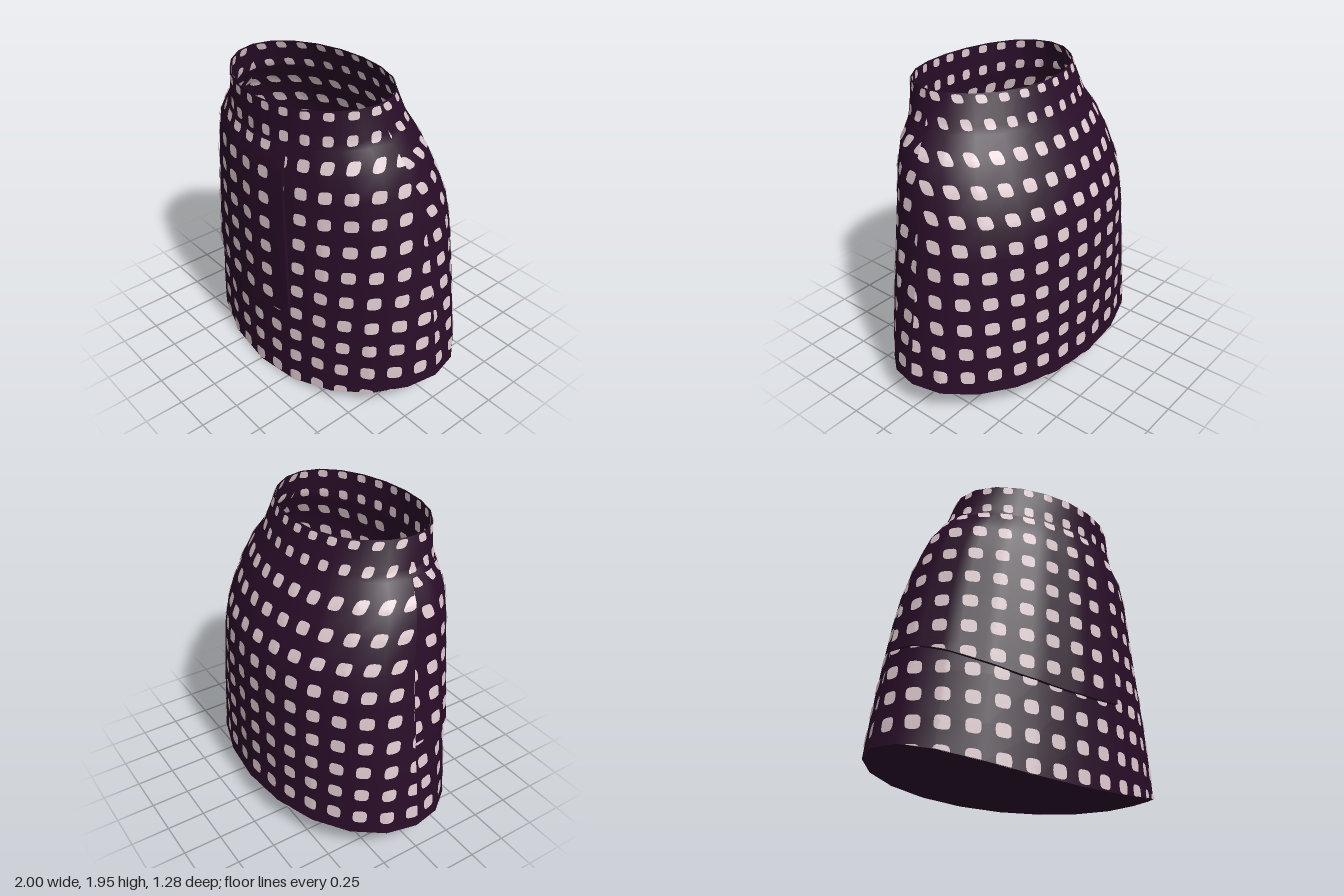
import * as THREE from 'three';

const { sin, cos, abs, min, max, sign, PI, hypot, floor } = Math;
const lerp = (a, b, t) => a + (b - a) * t;

// Skirt profile: height at the front, half width, front z, back z, rise at the sides, rise at the back
const RINGS = [
  [0, 1.0, 0.62, -0.635, 0.19, 0.16],
  [0.25, 0.985, 0.615, -0.625, 0.08, 0.07],
  [0.55, 0.945, 0.615, -0.62, 0.07, 0.06],
  [1.0, 0.872, 0.612, -0.605, 0.07, 0.06],
  [1.2, 0.835, 0.61, -0.575, 0.07, 0.06],
  [1.4, 0.79, 0.605, -0.49, 0.06, 0.05],
  [1.55, 0.735, 0.595, -0.41, 0.06, 0.05],
  [1.68, 0.65, 0.57, -0.34, 0.05, 0.04],
  [1.74, 0.625, 0.57, -0.32, 0.04, 0.03],
  [1.925, 0.58, 0.57, -0.25, 0.025, 0.01],
];
const TOP = 1.925, SIDES = 20, FLAP_TOP = 1.69;

function ringAt(v) {
  let i = 0;
  while (i < RINGS.length - 2 && v > RINGS[i + 1][0]) i++;
  const a = RINGS[i], b = RINGS[i + 1], t = (v - a[0]) / (b[0] - a[0]);
  return a.map((n, k) => lerp(n, b[k], t));
}

// Corner of the faceted ring; angle 0 is the front, +90 degrees the model's left
function corner(angle, ring, off) {
  const [v, rx, zf, zb, side, back] = ring;
  const rz = (zf - zb) / 2, s = sin(angle), c = cos(angle);
  const n = hypot(s / rx, c / rz);
  const base = c > 0 ? 0 : back;
  return [
    rx * s + (off * s) / rx / n,
    v + lerp(base, side, s * s),
    (zf + zb) / 2 + rz * c + (off * c) / rz / n,
  ];
}

// Any point of the cloth, lying on the flat facets between ring corners
function clothPoint(angle, v, off = 0) {
  const step = (2 * PI) / SIDES, i = floor(angle / step + 1e-6), f = angle / step - i;
  const ring = ringAt(v);
  const a = corner(i * step, ring, off), b = corner((i + 1) * step, ring, off);
  return a.map((n, k) => lerp(n, b[k], f));
}

// Angle reached after walking a distance along the ring, stopping at the side seam
function angleAt(dist, v) {
  const [, rx, zf, zb] = ringAt(v), rz = (zf - zb) / 2, d = 0.02;
  let a = 0, s = 0;
  while (a < PI / 2) {
    const ds = hypot(rx * cos(a), rz * sin(a)) * d;
    if (s + ds >= abs(dist)) return sign(dist) * min(PI / 2, a + (d * (abs(dist) - s)) / ds);
    s += ds;
    a += d;
  }
  return sign(dist) * (PI / 2);
}

function makeGeometry(positions, index) {
  const g = new THREE.BufferGeometry();
  g.setAttribute('position', new THREE.Float32BufferAttribute(positions, 3));
  g.setIndex(index);
  g.computeVertexNormals();
  return g;
}

// Grid surface from a rule; wrapped grids share their first and last column
function grid(nu, nv, wrap, rule) {
  const pos = [], idx = [], cols = wrap ? nu : nu + 1;
  for (let j = 0; j <= nv; j++) for (let i = 0; i < cols; i++) pos.push(...rule(i / nu, j / nv, i, j));
  for (let j = 0; j < nv; j++) for (let i = 0; i < nu; i++) {
    const a = j * cols + i, b = j * cols + ((i + 1) % cols), c = a + cols, d = b + cols;
    idx.push(a, b, d, a, d, c);
  }
  return makeGeometry(pos, idx);
}

// Wrapped front flap: sloping lower edge, straight front edge, ending at the right seam
const flapBottom = (a) => 0.545 + 0.18 * sin(a) ** 2;
const flapEdge = (v) => Math.asin((0.3 - 0.045 * (v - 0.55)) / ringAt(v)[1]);
const flapOff = (a, v) =>
  0.01 + 0.012 * max(0, min(1, (FLAP_TOP - v) / 0.1)) * max(0, min(1, (a + PI / 2) / 0.2));
function flapPoint(u, t, lift = 1) {
  const v0 = lerp(flapBottom(0.3), FLAP_TOP, t);
  const a = lerp(-PI / 2, flapEdge(v0), u);
  const v = lerp(flapBottom(a), FLAP_TOP, t);
  return clothPoint(a, v, flapOff(a, v) * lift);
}

// Collects rounded-square dots; place(s, v) puts a flat pattern point on the cloth
function dotSheet() {
  const pos = [], idx = [], N = 16;
  return {
    add(s0, v0, w, h, place) {
      const start = pos.length / 3;
      pos.push(...place(s0, v0));
      for (const r of [0.55, 1]) for (let i = 0; i < N; i++) {
        const c = cos((i * 2 * PI) / N), s = sin((i * 2 * PI) / N);
        pos.push(...place(
          s0 + r * w * sign(c) * abs(c) ** 0.6,
          v0 + r * h * sign(s) * abs(s) ** 0.6));
      }
      for (let i = 0; i < N; i++) {
        const a = start + 1 + i, b = start + 1 + ((i + 1) % N);
        idx.push(start, a, b, a, a + N, b + N, a, b + N, b);
      }
    },
    geometry: () => makeGeometry(pos, idx),
  };
}

const spacing = (v) => 0.167 - 0.0035 * v ** 4;

// Keeps pattern rows level near the hem, so the curved hem trims them
function trimHem(v, a, back) {
  const s2 = sin(a) ** 2, k = back ? 0.82 + 0.18 * s2 : s2;
  return min(TOP, v < 0.25 ? max(0, 0.25 - (0.25 - v) / (1 - 0.44 * k)) : v);
}

export function createModel() {
  const group = new THREE.Group();
  const fabric = new THREE.MeshStandardMaterial({ color: 0x290d28, side: THREE.DoubleSide });
  fabric.name = 'dark plum fabric';
  const dotPaint = new THREE.MeshStandardMaterial({ color: 0xdcc8cd, side: THREE.DoubleSide });
  dotPaint.name = 'pale pink dots';
  const add = (name, geometry, material) => {
    const m = new THREE.Mesh(geometry, material);
    m.name = name;
    group.add(m);
  };

  // Main cloth and the closed underside
  add('skirtBody', grid(SIDES, RINGS.length - 1, true, (u, t, i, j) =>
    corner(u * 2 * PI, RINGS[j], 0)), fabric);
  add('underside', grid(SIDES, 1, true, (u, t) => {
    const p = corner(-u * 2 * PI, RINGS[0], 0);
    return [p[0] * t, lerp(0.08, p[1], t), p[2] * t];
  }), fabric);

  // Flap with its lower and front rims
  add('frontFlap', grid(30, 14, false, (u, t) => flapPoint(u, t)), fabric);
  add('flapLowerRim', grid(30, 1, false, (u, t) => flapPoint(u, 0, t)), fabric);
  add('flapFrontRim', grid(1, 14, false, (u, t) => flapPoint(1, t, 1 - u)), fabric);

  // Dots of the body and waistband, on the outer and inner face
  const outer = dotSheet(), inner = dotSheet();
  for (const back of [false, true]) {
    const both = (s, v, w, h) => {
      const a0 = angleAt(s, v);
      if (abs(angleAt(max(0, abs(s) - w), v)) >= PI / 2 - 0.01) return;
      if (trimHem(v + h, a0, back) <= 0) return;
      for (const [sheet, off] of [[outer, 0.006], [inner, -0.006]]) {
        sheet.add(s, v, w, h, (ps, pv) => {
          const a = angleAt(ps, min(TOP, max(0, pv)));
          return clothPoint(back ? PI - a : a, trimHem(pv, a, back), off);
        });
      }
    };
    for (let row = 0; row < 10; row++) {
      const v = back ? 0.06 + 0.167 * row : 0.055 + 0.171 * row;
      const p = spacing(v);
      for (let k = -9; k <= 9; k++) {
        const s = back ? p * (k + 0.5) : p * k + sign(k) * 0.035 * v * v;
        both(s, v, 0.27 * p, 0.044 - 0.004 * v);
      }
    }
    for (const v of [1.745, 1.893])
      for (let k = -8; k <= 8; k++)
        both(0.134 * (k + (back ? 0.5 : -0.26)), v, 0.031, v > 1.8 ? 0.026 : 0.034);
  }
  add('bodyDots', outer.geometry(), dotPaint);
  add('liningDots', inner.geometry(), dotPaint);

  // Dots of the flap, offset from the body pattern
  const flapDots = dotSheet();
  for (let row = 0; row < 7; row++) {
    const v = 0.66 + 0.1685 * row, p = spacing(v);
    for (let k = -9; k <= 1; k++) {
      const s = p * (k - 0.23), w = 0.27 * p;
      if (angleAt(s + w, v) <= -PI / 2 + 0.01) continue;
      const h = row === 6 ? 0.036 : 0.044 - 0.004 * v;
      if (v + h <= flapBottom(angleAt(s, v))) continue;
      flapDots.add(s, v, w, h, (ps, pv) => {
        const a = angleAt(ps, pv), q = min(FLAP_TOP, max(flapBottom(a), pv));
        return clothPoint(a, q, flapOff(a, q) + 0.007);
      });
    }
  }
  add('flapDots', flapDots.geometry(), dotPaint);
  return group;
}
